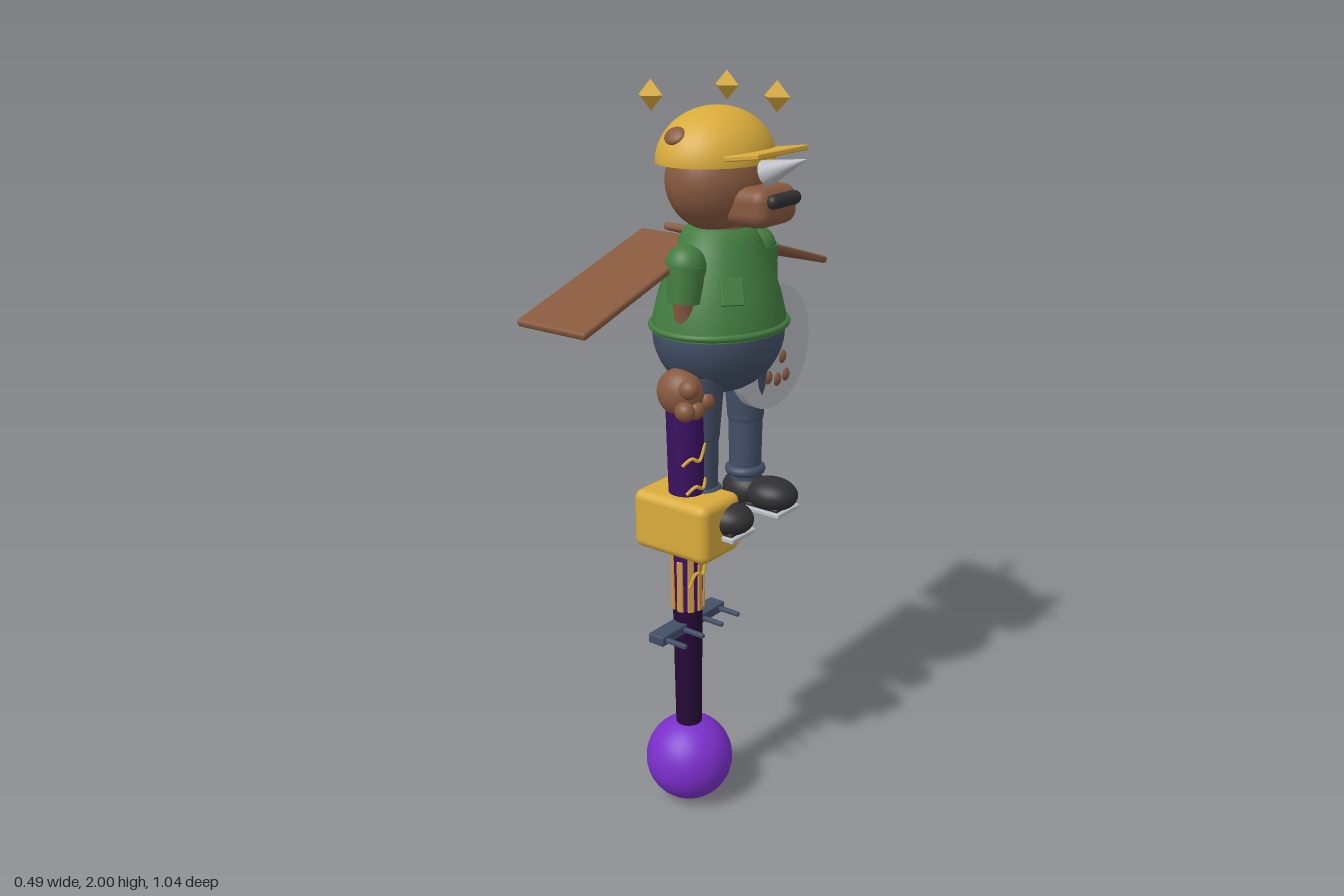
import * as THREE from 'three';
import { RoundedBoxGeometry } from 'three/addons/geometries/RoundedBoxGeometry.js';

const mat = (name, color, extra = {}) => {
  const m = new THREE.MeshStandardMaterial({ color, ...extra });
  m.name = name;
  return m;
};

export function createModel() {
  const brown = mat('brown', 0x87593f);
  const gold = mat('gold', 0xd9ab3c);
  const green = mat('green', 0x437c40, { side: THREE.DoubleSide });
  const denim = mat('denim', 0x434f66);
  const black = mat('black', 0x303032);
  const silver = mat('silver', 0xb9bdc3);
  const violet = mat('violet', 0x7b2fcb);
  const plum = mat('plum', 0x3b1160);
  const deepPlum = mat('deepPlum', 0x250a36);
  const amber = mat('amber', 0xcf984c);

  const model = new THREE.Group();
  const add = (name, geo, material, x = 0, y = 0, z = 0) => {
    const m = new THREE.Mesh(geo, material);
    m.name = name;
    m.position.set(x, y, z);
    model.add(m);
    return m;
  };
  const ball = (name, material, x, y, z, rx, ry = rx, rz = rx) => {
    const m = add(name, new THREE.SphereGeometry(1, 32, 20), material, x, y, z);
    m.scale.set(rx, ry, rz);
    return m;
  };
  const box = (name, material, x, y, z, w, h, d, r = 0.004) =>
    add(name, new RoundedBoxGeometry(w, h, d, 3, r), material, x, y, z);
  const rod = (name, material, x, z, y0, y1, r0, r1 = r0) =>
    add(name, new THREE.CylinderGeometry(r1, r0, y1 - y0, 24), material, x, (y0 + y1) / 2, z);
  const limb = (name, material, a, b, r) => {
    const from = new THREE.Vector3(...a), to = new THREE.Vector3(...b);
    const dir = to.clone().sub(from);
    const m = add(name, new THREE.CapsuleGeometry(r, dir.length(), 8, 20), material);
    m.position.copy(from).add(to).multiplyScalar(0.5);
    m.quaternion.setFromUnitVectors(new THREE.Vector3(0, 1, 0), dir.normalize());
    return m;
  };

  // Staff: ball, shaft and block
  const sx = -0.023, sz = 0.147;
  ball('staffBall', violet, sx, 0.124, sz, 0.123);
  rod('lowerShaft', deepPlum, sx, sz, 0.22, 0.6, 0.036, 0.041);
  rod('upperShaft', plum, sx, sz, 0.6, 1.22, 0.041, 0.054);
  box('staffBlock', gold, -0.023, 0.86, sz, 0.246, 0.165, 0.165, 0.025);

  // Molten strips below the block and thin cracks on the shaft
  for (let i = 0; i < 9; i++) {
    const a = (i / 9) * Math.PI * 2, h = 0.19 - 0.02 * (i % 3);
    const strip = box('moltenStrip', amber, sx + Math.cos(a) * 0.042, 0.6 + h / 2, sz + Math.sin(a) * 0.042,
      0.009, h, 0.018, 0.003);
    strip.rotation.y = -a;
  }
  const crack = (points) => {
    const path = points.map(([a, y]) => new THREE.Vector3(
      sx + Math.cos(a) * 0.051, y, sz + Math.sin(a) * 0.051));
    add('crack', new THREE.TubeGeometry(new THREE.CatmullRomCurve3(path), 24, 0.005, 6), gold);
  };
  crack([[1.1, 1.03], [0.6, 1.05], [0.2, 1.04], [-0.3, 1.08], [-0.8, 1.09]]);
  crack([[0.9, 0.95], [0.4, 0.97], [-0.1, 0.96], [-0.6, 1.0]]);
  crack([[0.8, 0.68], [0.4, 0.72], [0, 0.71], [-0.4, 0.76], [-0.8, 0.78]]);

  // Crossbar with forward teeth
  box('crossbar', denim, -0.025, 0.552, 0.147, 0.05, 0.028, 0.276);
  for (const z of [0.266, 0.19, 0.105, 0.03])
    box('crossbarTooth', denim, 0.03, 0.552, z, 0.07, 0.012, 0.013, 0.003);

  // Trousers
  ball('trousers', denim, -0.025, 1.355, 0, 0.168, 0.167, 0.187);

  // Shirt with hem and pocket
  const profile = [[0.188, 1.365], [0.183, 1.4], [0.168, 1.46], [0.142, 1.53], [0.115, 1.59], [0.096, 1.625], [0.06, 1.64]]
    .map(([r, y]) => new THREE.Vector2(r, y));
  add('shirt', new THREE.LatheGeometry(profile, 40), green, -0.023).scale.set(0.92, 1, 1.02);
  const hem = add('shirtHem', new THREE.TorusGeometry(0.187, 0.009, 10, 48), green, -0.023, 1.377, 0);
  hem.rotation.x = Math.PI / 2;
  hem.scale.set(0.92, 1.02, 1);
  const pocket = box('shirtPocket', green, 0.092, 1.49, 0.1, 0.06, 0.07, 0.012, 0.003);
  pocket.rotation.set(-0.36, 0.85, 0, 'YXZ');

  for (const s of [1, -1]) {
    // Arm, sleeve and paw
    ball('shoulder', green, -0.015, 1.55, s * 0.152, 0.054, 0.056, 0.052);
    const sleeve = rod('sleeve', green, -0.008, s * 0.163, 1.462, 1.555, 0.043, 0.049);
    sleeve.rotation.x = -s * 0.12;
    limb('arm', brown, [-0.01, 1.5, s * 0.165], [-0.02, 1.27, s * 0.13], 0.032);
    ball('paw', brown, -0.025, 1.222, s * 0.165, 0.066, 0.064, 0.055);
    for (const [y, z] of [[1.245, 0.195], [1.19, 0.212], [1.185, 0.172], [1.2, 0.13]])
      ball('finger', brown, 0.026, y, s * z, 0.028, 0.026, 0.024);

    // Plank wing
    const wing = box('wing', brown, -0.135, 1.521, s * 0.282, 0.222, 0.02, 0.502, 0.008);
    wing.rotation.x = s * 0.305;

    // Leg with knee and cuff
    rod('thigh', denim, -0.01, s * 0.1, 1.09, 1.26, 0.05, 0.064);
    ball('knee', denim, -0.01, 1.1, s * 0.1, 0.051);
    rod('shin', denim, -0.01, s * 0.1, 0.91, 1.1, 0.044, 0.048);
    const cuff = add('cuff', new THREE.TorusGeometry(0.042, 0.015, 10, 28), denim, -0.01, 0.935, s * 0.1);
    cuff.rotation.x = Math.PI / 2;

    // Shoe on a metal frame
    ball('shoeToe', black, 0.078, 0.877, s * 0.104, 0.078, 0.046, 0.063);
    ball('shoeHeel', black, -0.01, 0.875, s * 0.104, 0.072, 0.05, 0.055);
    box('shoeSole', black, 0.03, 0.845, s * 0.104, 0.19, 0.016, 0.085, 0.007);
    for (const d of [-0.046, 0.046])
      box('frameRail', silver, 0.03, 0.836, s * 0.104 + d, 0.215, 0.014, 0.014);
    for (const x of [-0.07, 0.13])
      box('frameBar', silver, x, 0.836, s * 0.104, 0.014, 0.014, 0.1);
  }

  // Spike under the left shoe
  const spike = add('footSpike', new THREE.ConeGeometry(0.041, 0.14, 24), gold, -0.03, 0.762, -0.102);
  spike.rotation.x = Math.PI;

  // Round shield
  const shield = add('shield', new THREE.CylinderGeometry(0.172, 0.172, 0.025, 48), silver, 0.033, 1.282, -0.152);
  shield.rotation.z = Math.PI / 2;

  // Head, muzzle and nose
  rod('neck', brown, -0.023, 0, 1.6, 1.68, 0.075);
  ball('head', brown, -0.02, 1.75, 0, 0.128, 0.135, 0.16);
  box('muzzle', brown, 0.105, 1.697, 0, 0.135, 0.1, 0.165, 0.035);
  const nose = add('nose', new THREE.CapsuleGeometry(0.018, 0.09, 8, 16), black, 0.176, 1.716, 0);
  nose.rotation.x = Math.PI / 2;
  const horn = add('horn', new THREE.ConeGeometry(0.034, 0.13, 24), silver, 0.183, 1.798, 0);
  horn.rotation.z = -Math.PI / 2 + 0.36;

  // Helmet with brim and patches
  const dome = add('helmet', new THREE.SphereGeometry(1, 40, 16, 0, Math.PI * 2, 0, Math.PI / 2), gold, -0.033, 1.795, 0);
  dome.scale.set(0.143, 0.135, 0.172);
  const under = add('helmetUnderside', new THREE.CircleGeometry(1, 40), gold, -0.033, 1.795, 0);
  under.rotation.x = Math.PI / 2;
  under.scale.set(0.143, 0.172, 1);
  const brim = box('helmetBrim', gold, 0.12, 1.824, 0, 0.11, 0.014, 0.218);
  brim.rotation.z = 0.14;
  for (const s of [1, -1]) {
    const patch = ball('helmetPatch', brown, -0.052, 1.867, s * 0.141, 0.03, 0.026, 0.012);
    patch.rotation.x = -s * 0.75;
  }

  // Floating crown gems
  for (const [x, z] of [[-0.115, 0.155], [-0.115, -0.155], [0.152, 0]])
    add('crownGem', new THREE.OctahedronGeometry(0.038), gold, x, 1.962, z);

  return model;
}
